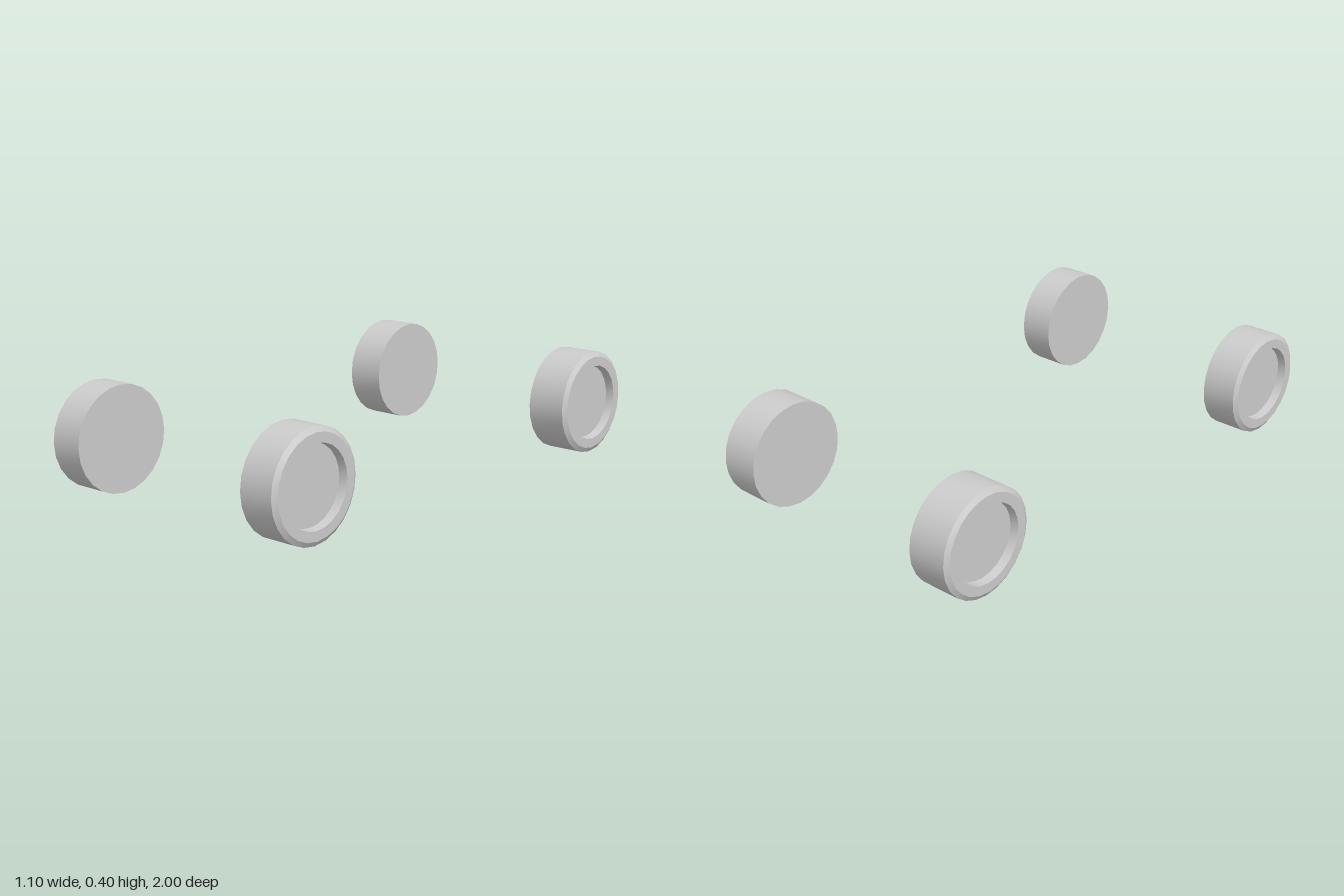
import * as THREE from 'three';
import { toCreasedNormals } from 'three/addons/utils/BufferGeometryUtils.js';

const RADIUS = 0.2;
const SEGMENTS = 24;

// Solid wheel turned about the x axis: flat inner cap, bevelled outer edge, recessed hub
function wheelGeometry(inner, outer) {
  const profile = [
    [0, inner],
    [RADIUS, inner],
    [RADIUS, outer - 0.012],
    [0.182, outer],
    [0.146, outer],
    [0.142, outer - 0.032],
    [0, outer - 0.032],
  ].map(([r, x]) => new THREE.Vector2(r, x));
  const geometry = new THREE.LatheGeometry(profile, SEGMENTS);
  geometry.rotateZ(-Math.PI / 2);
  return toCreasedNormals(geometry, Math.PI / 7);
}

export function createModel() {
  const model = new THREE.Group();
  model.name = 'wheelSet';
  const material = new THREE.MeshStandardMaterial({ color: 0xcccccc });

  // The rear wheels are slightly wider than the front ones
  const axles = [
    { name: 'front', z: 0.8, inner: 0.398, outer: 0.546 },
    { name: 'rear', z: -0.8, inner: 0.386, outer: 0.549 },
  ];
  for (const { name, z, inner, outer } of axles) {
    const geometry = wheelGeometry(inner, outer);
    for (const side of ['Left', 'Right']) {
      const wheel = new THREE.Mesh(geometry, material);
      wheel.name = `${name}${side}Wheel`;
      wheel.position.set(0, RADIUS, z);
      if (side === 'Right') wheel.rotation.y = Math.PI;
      model.add(wheel);
    }
  }
  return model;
}
